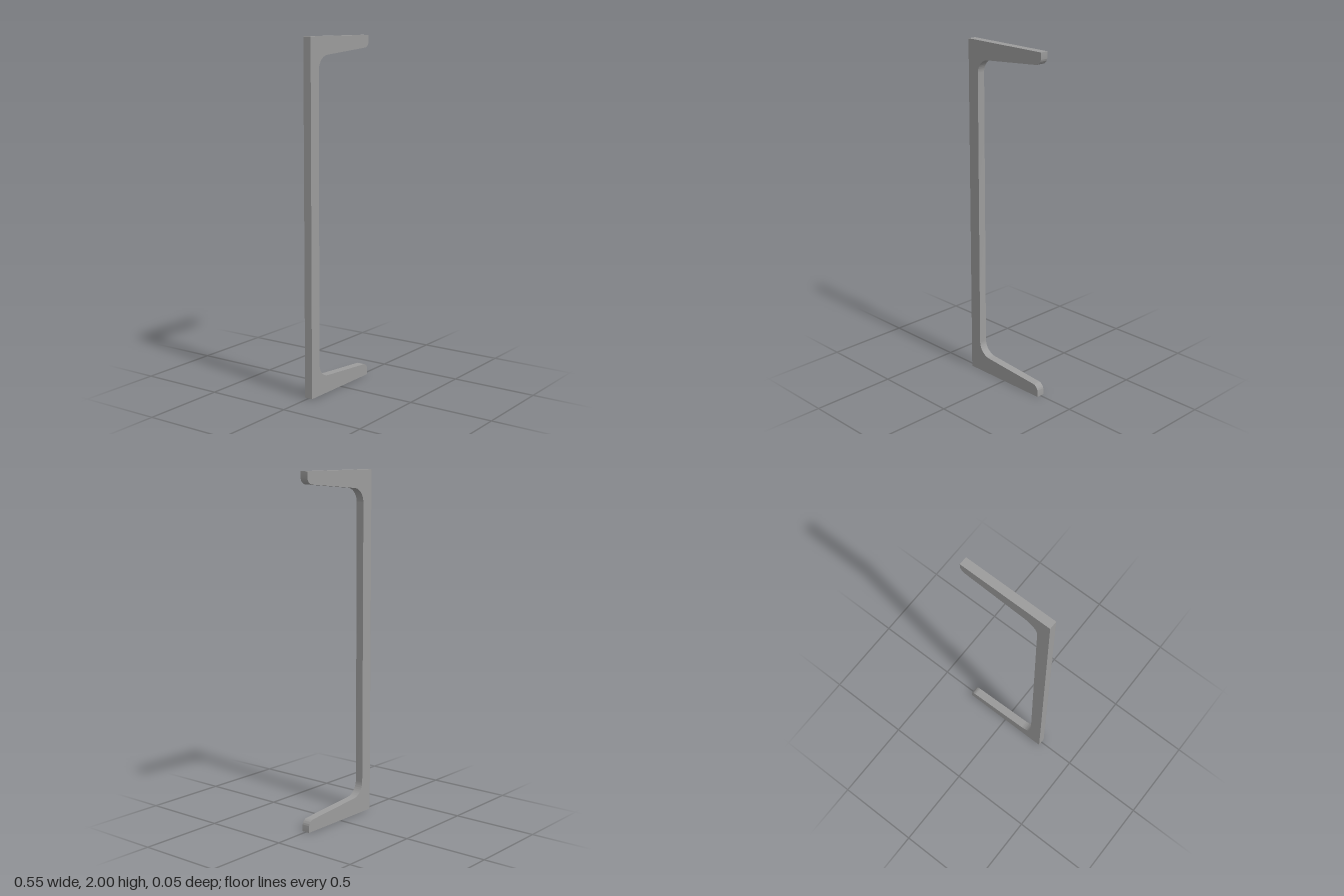
import * as THREE from 'three';
import { toCreasedNormals } from 'three/addons/utils/BufferGeometryUtils.js';

export function createModel() {
  const group = new THREE.Group();
  group.name = 'channelSection';
  const steel = new THREE.MeshStandardMaterial({ color: 0x9c9c9c });
  steel.name = 'steel grey';

  // Section dimensions
  const halfWidth = 0.275, height = 2, depth = 0.048;
  const webInner = -0.203, filletR = 0.085, tipR = 0.04;
  const slope = 0.082, a = Math.atan(slope);
  const flangeY = x => 0.0902 - slope * x; // tapered inner face of the flange

  // Arc centres tangent to the taper
  const filletX = webInner + filletR;
  const filletY = flangeY(filletX) + filletR / Math.cos(a);
  const tipX = halfWidth - tipR;
  const tipY = flangeY(tipX) - tipR / Math.cos(a);

  // Outline: lower flange, web, mirrored upper flange
  const s = new THREE.Shape();
  s.moveTo(-halfWidth, 0);
  s.lineTo(halfWidth, 0);
  s.absarc(tipX, tipY, tipR, 0, Math.PI / 2 - a, false);
  s.absarc(filletX, filletY, filletR, Math.PI * 1.5 - a, Math.PI, true);
  s.absarc(filletX, height - filletY, filletR, Math.PI, Math.PI / 2 + a, true);
  s.absarc(tipX, height - tipY, tipR, a - Math.PI / 2, 0, false);
  s.lineTo(halfWidth, height);
  s.lineTo(-halfWidth, height);
  s.closePath();

  const extruded = new THREE.ExtrudeGeometry(s, { depth, bevelEnabled: false, curveSegments: 16 });
  extruded.translate(0, 0, -depth / 2);
  const channel = new THREE.Mesh(toCreasedNormals(extruded, Math.PI / 6), steel);
  channel.name = 'channel';
  group.add(channel);
  return group;
}
